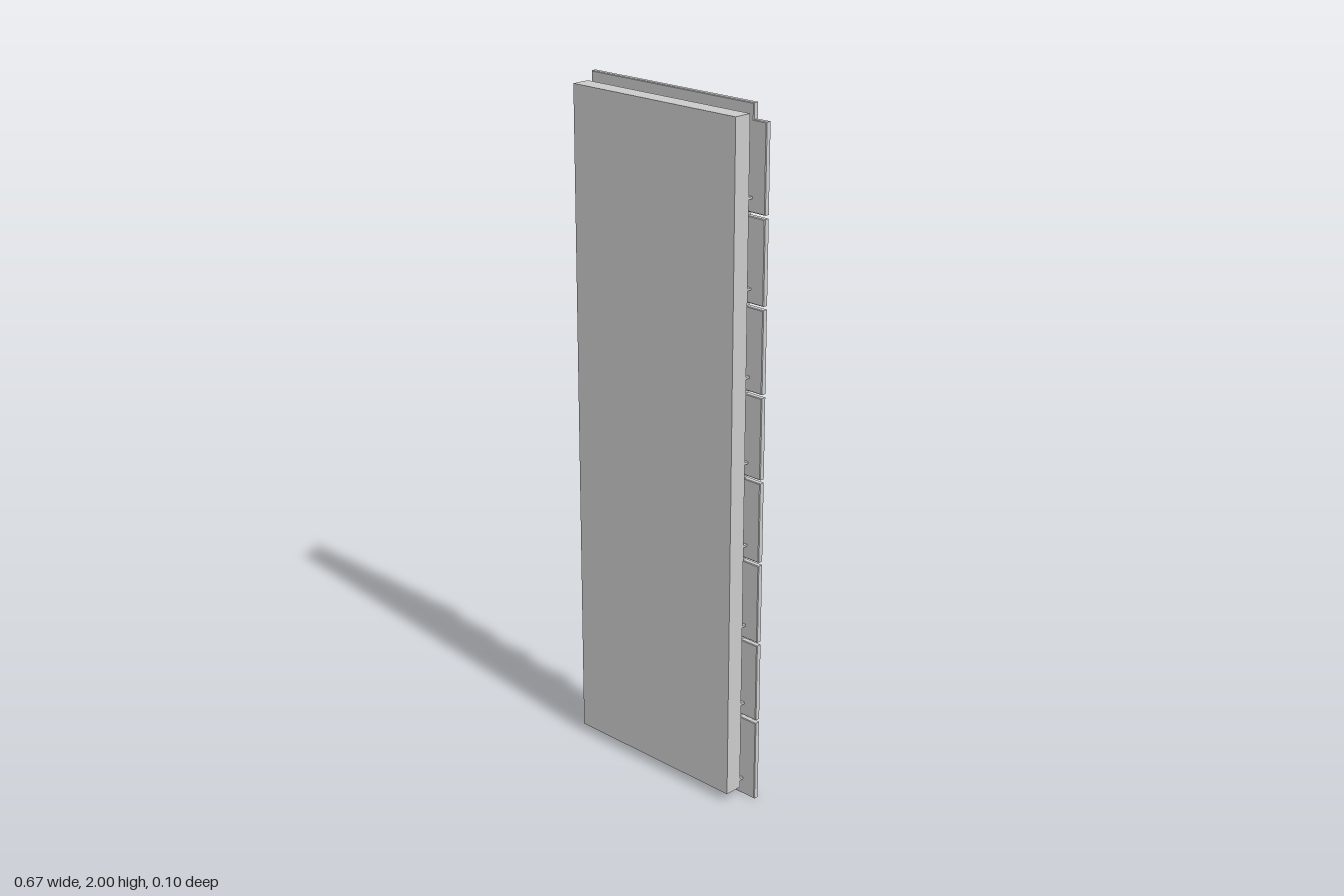
import * as THREE from 'three';

const grey = new THREE.MeshStandardMaterial({ color: 0xcccccc, flatShading: true });

export function createModel() {
  const model = new THREE.Group();

  // box from its minimum and maximum corners
  const box = (name, x0, x1, y0, y1, z0, z1, parent = model) => {
    const mesh = new THREE.Mesh(new THREE.BoxGeometry(x1 - x0, y1 - y0, z1 - z0), grey);
    mesh.position.set((x0 + x1) / 2, (y0 + y1) / 2, (z0 + z1) / 2);
    mesh.name = name;
    parent.add(mesh);
    return mesh;
  };

  const pitch = 0.2435, bays = 8;

  // front slab
  box('frontSlab', -0.292, 0.292, 0.027, 1.975, -0.003, 0.051);

  // back frame: inverted U with notched side flanges
  const side = [[0.25, 0], [0.335, 0]];
  for (let i = 1; i < bays; i++) {
    const y = 0.006 + i * pitch;
    side.push([0.335, y - 0.005], [0.275, y - 0.005], [0.275, y + 0.005], [0.335, y + 0.005]);
  }
  side.push([0.335, 1.957], [0.292, 1.957], [0.292, 2]);
  const outline = [
    ...side,
    ...side.slice().reverse().map(([x, y]) => [-x, y]),
    [-0.25, 1.925], [0.25, 1.925],
  ].map(([x, y]) => new THREE.Vector2(x, y));
  const bevel = 0.002;
  const frame = new THREE.Mesh(
    new THREE.ExtrudeGeometry(new THREE.Shape(outline), {
      depth: 0.017 - 2 * bevel, bevelThickness: bevel, bevelSize: bevel, bevelOffset: -bevel, bevelSegments: 1,
    }), grey);
  frame.position.z = -0.034 + bevel;
  frame.name = 'backFrame';
  model.add(frame);

  // horizontal fins with two thin wires in each bay
  const fins = new THREE.Group();
  fins.name = 'fins';
  const grid = new THREE.Group();
  grid.name = 'wireGrid';
  model.add(fins, grid);
  for (let i = 0; i < bays; i++) {
    const y = 0.051 + i * pitch;
    box('fin', -0.292, 0.292, y - 0.003, y + 0.003, -0.053, -0.003, fins);
    for (const f of [1, 2]) {
      const wy = y + (f * pitch) / 3;
      if (wy < 1.925) box('horizontalWire', -0.26, 0.26, wy - 0.004, wy + 0.004, -0.015, -0.003, grid);
    }
  }
  for (const x of [-0.25, -0.139, 0, 0.139, 0.25]) {
    box('verticalWire', x - 0.004, x + 0.004, 0.03, 1.94, -0.015, -0.003, grid);
  }

  // slatted plate at the foot
  const foot = new THREE.Group();
  foot.name = 'footPlate';
  model.add(foot);
  box('plate', -0.195, 0.195, 0.01, 0.095, -0.028, -0.018, foot);
  for (const y of [0.01, 0.036, 0.062, 0.088]) {
    box('plateRib', -0.195, 0.195, y, y + 0.007, -0.034, -0.028, foot);
  }

  // small brackets on the back of the slab
  const bracket = (x0, x1, y0, y1) => {
    const g = new THREE.Group();
    g.name = 'bracket';
    model.add(g);
    const t = 0.006;
    box('bracketBase', x0, x1, y0, y0 + t, -0.03, -0.003, g);
    box('bracketTop', x0 + 0.02, x1 - 0.01, y1 - t, y1, -0.018, -0.003, g);
    box('bracketSide', x0 + 0.02, x0 + 0.02 + t, y0, y1, -0.018, -0.003, g);
    box('bracketSide', x1 - 0.01 - t, x1 - 0.01, y0, y1, -0.018, -0.003, g);
  };
  bracket(0.02, 0.123, 1.89, 1.935);
  bracket(-0.25, -0.16, 1.05, 1.095);

  return model;
}
